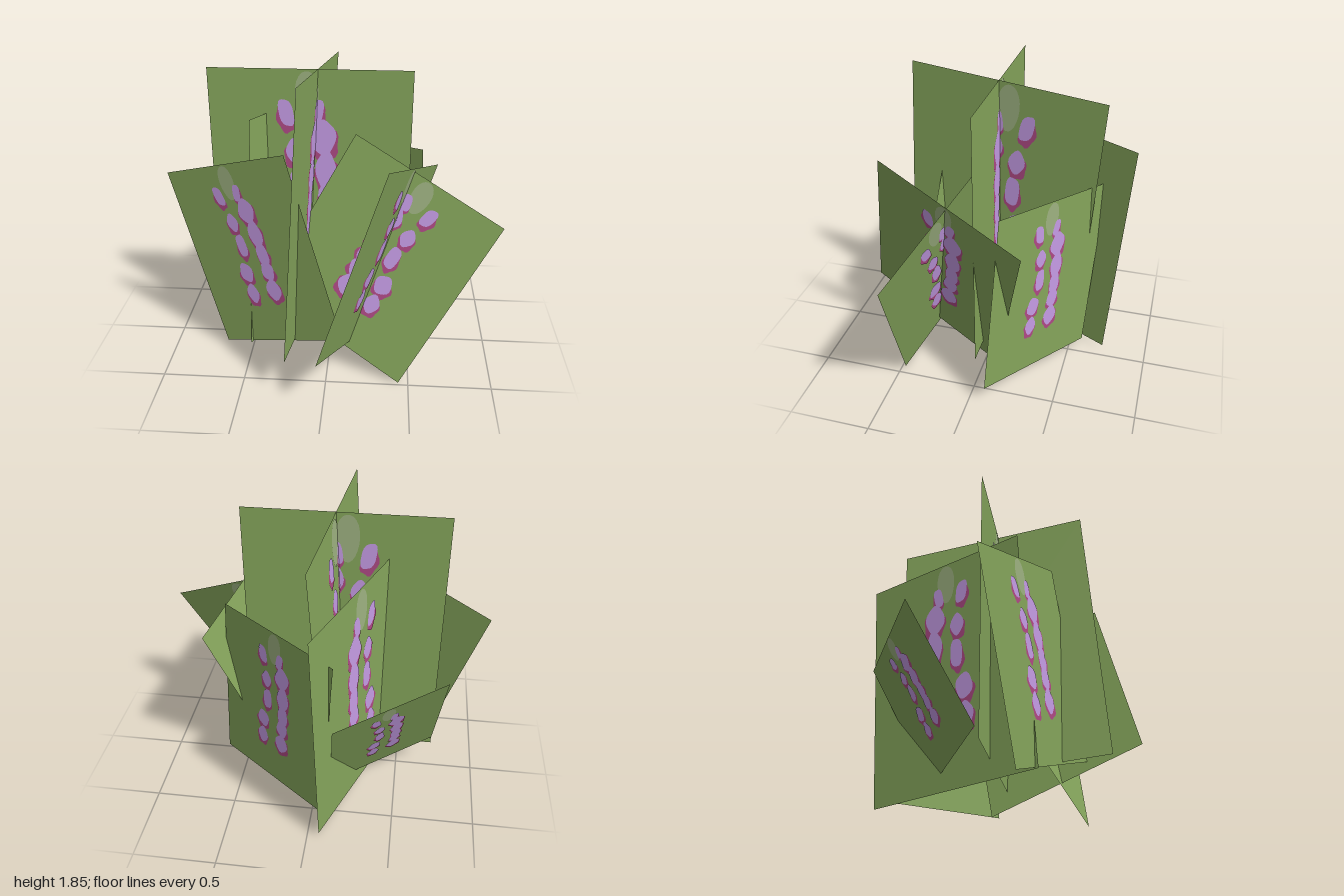
import * as THREE from 'three';
import { mergeGeometries } from 'three/addons/utils/BufferGeometryUtils.js';

const mat = (name, color) => new THREE.MeshStandardMaterial({ name, color, side: THREE.DoubleSide });

// Corners of each leaf card: top left, top right, bottom left (bottom right follows)
const CARDS = [
  ['tallCardFront', [-0.72, 1.81, 0], [0.47, 1.81, 0], [-0.72, 0.2, 0]],
  ['tallCardSide', [0, 1.76, -0.64], [-0.14, 1.855, 0.54], [-0.09, 0.15, -0.53]],
  ['leaningCardFront', [1, 1.01, 0.35], [0.145, 1.43, 0.01], [0.44, 0.005, 0.48]],
  ['leaningCardSide', [0.34, 1.43, 0.595], [0.66, 1.12, -0.32], [-0.03, 0.36, 0.82]],
  ['rightCard', [-1, 1.16, 0.03], [-0.24, 1.42, 0.354], [-0.66, 0.05, 0.175]],
  ['lowBackCard', [-0.15, 0.866, -0.76], [-0.77, 0.99, -0.4], [-0.1, 0.14, -0.38]],
  ['innerBackCard', [-0.455, 1.555, 0.17], [-0.035, 1.48, -0.82], [-0.49, 0.105, 0.27]],
  ['leftBackCard', [0.55, 1.275, -0.17], [-0.14, 1.215, -0.65], [0.62, 0.12, -0.1]],
];

// Petals on a card: across, down, half width, half height, tilt (card is 1 x 1)
const PETALS = [
  [0.382, 0.162, 0.036, 0.056, 0.45], [0.421, 0.31, 0.042, 0.05, 0.2],
  [0.433, 0.44, 0.04, 0.065, 0], [0.393, 0.593, 0.053, 0.055, 0], [0.39, 0.715, 0.046, 0.055, 0],
  [0.537, 0.155, 0.03, 0.048, -0.3], [0.565, 0.255, 0.062, 0.068, -0.2],
  [0.578, 0.385, 0.052, 0.078, 0], [0.582, 0.5, 0.047, 0.062, 0],
  [0.578, 0.59, 0.05, 0.055, 0], [0.576, 0.7, 0.057, 0.06, 0],
];

// Wavy ellipse outline
function blob(u, t, w, h, tilt, wave, lobes, phase) {
  const points = [];
  for (let i = 0; i < 22; i++) {
    const a = (i / 22) * Math.PI * 2;
    const r = 1 + wave * Math.sin(lobes * a + phase);
    const x = Math.cos(a) * r * w, y = Math.sin(a) * r * h;
    points.push(new THREE.Vector2(
      u + x * Math.cos(tilt) - y * Math.sin(tilt),
      -t + x * Math.sin(tilt) + y * Math.cos(tilt)));
  }
  return new THREE.ShapeGeometry(new THREE.Shape(points));
}

// The same flat paint on both faces of a card
function bothFaces(geometry, lift) {
  return mergeGeometries([geometry.clone().translate(0, 0, lift), geometry.clone().translate(0, 0, -lift)]);
}

export function createModel() {
  const leafGreen = mat('leafGreen', 0x86a65c);
  const petalLilac = mat('petalLilac', 0xc89ee8);
  const rimMagenta = mat('rimMagenta', 0xb04a86);
  const budGreen = mat('budGreen', 0x9fb382);

  // Unit artwork, laid out from the top left corner
  const sheet = new THREE.PlaneGeometry(1, 1).translate(0.5, -0.5, 0);
  const bud = bothFaces(blob(0.485, 0.097, 0.058, 0.092, 0, 0.03, 3, 0), 0.002);
  const rims = bothFaces(mergeGeometries(PETALS.map(([u, t, w, h, tilt], i) =>
    blob(u + (u < 0.5 ? -0.004 : 0.004), t + 0.022, w * 1.18, h * 1.06, tilt, 0.09, 5, i * 1.7))), 0.003);
  const petals = bothFaces(mergeGeometries(PETALS.map(([u, t, w, h, tilt], i) =>
    blob(u, t, w, h, tilt, 0.06, 4, i * 2.1))), 0.0045);

  const model = new THREE.Group();
  model.name = 'floweringPlant';
  for (const [name, topLeft, topRight, bottomLeft] of CARDS) {
    const origin = new THREE.Vector3(...topLeft);
    const across = new THREE.Vector3(...topRight).sub(origin);
    const up = origin.clone().sub(new THREE.Vector3(...bottomLeft));
    const normal = across.clone().cross(up).normalize();
    const place = new THREE.Matrix4().makeBasis(across, up, normal).setPosition(origin);

    const card = new THREE.Group();
    card.name = name;
    const parts = [['leafSheet', sheet, leafGreen], ['bud', bud, budGreen],
      ['petalRims', rims, rimMagenta], ['petals', petals, petalLilac]];
    for (const [part, geometry, material] of parts) {
      const mesh = new THREE.Mesh(geometry.clone().applyMatrix4(place), material);
      mesh.name = part;
      card.add(mesh);
    }
    model.add(card);
  }
  return model;
}
